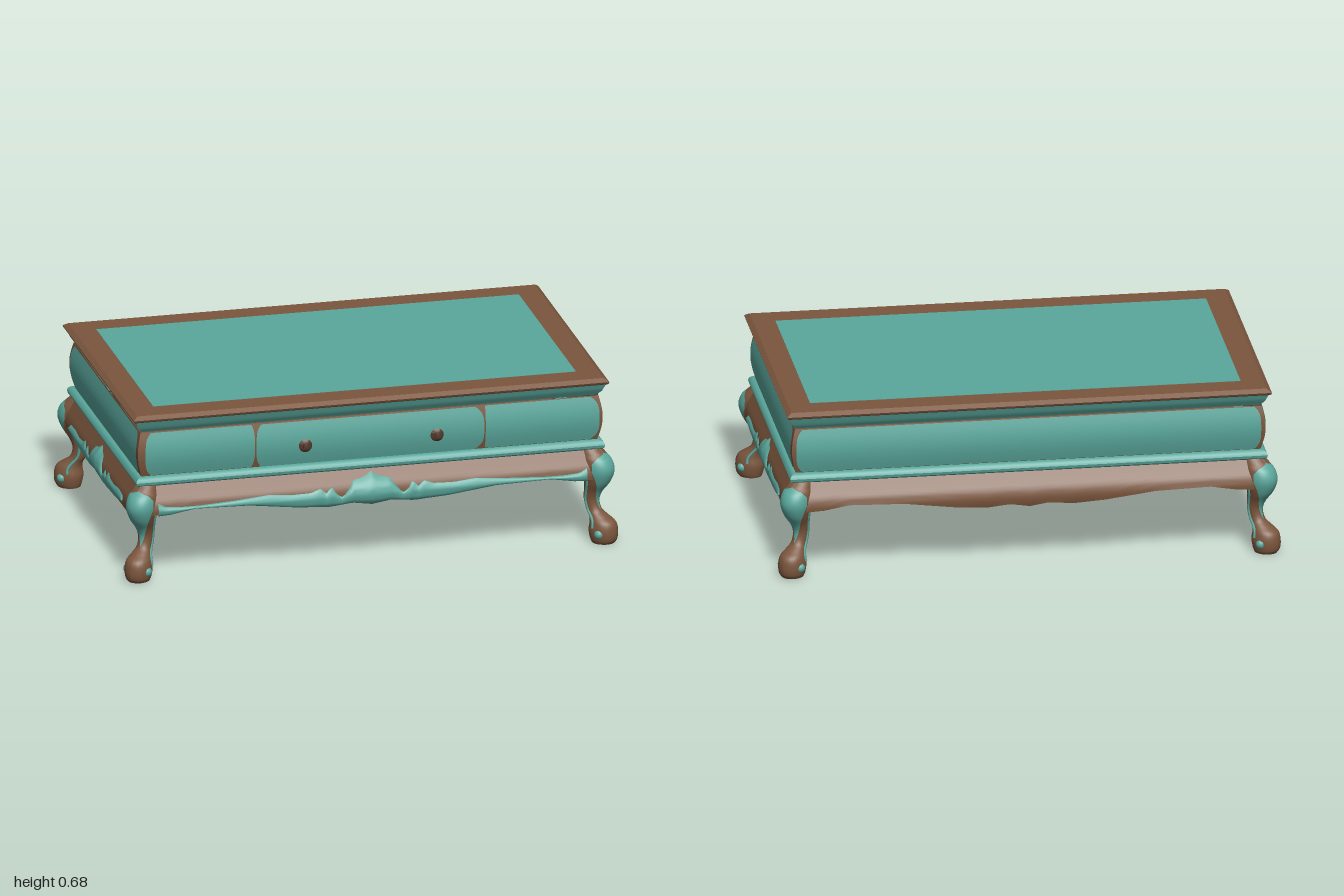
import * as THREE from 'three';
import { mergeGeometries, mergeVertices, toCreasedNormals } from 'three/addons/utils/BufferGeometryUtils.js';

const HX = 0.925, HZ = 0.545; // half sizes of the case at its base line

// Piecewise linear lookup in [[x, y], ...] sorted by x
function lookup(table, x) {
  if (x <= table[0][0]) return table[0][1];
  for (let i = 1; i < table.length; i++) {
    const [x0, y0] = table[i - 1], [x1, y1] = table[i];
    if (x <= x1) return y0 + (y1 - y0) * (x - x0) / (x1 - x0);
  }
  return table[table.length - 1][1];
}

// Grid surface from fn(s, t) -> [x, y, z], s and t in 0..1
function surface(fn, ns, nt) {
  const pos = [], idx = [];
  for (let j = 0; j <= nt; j++) for (let i = 0; i <= ns; i++) pos.push(...fn(i / ns, j / nt));
  for (let j = 0; j < nt; j++) for (let i = 0; i < ns; i++) {
    const a = j * (ns + 1) + i, b = a + 1, c = a + ns + 1, d = c + 1;
    idx.push(a, b, d, a, d, c);
  }
  const g = new THREE.BufferGeometry();
  g.setAttribute('position', new THREE.Float32BufferAttribute(pos, 3));
  g.setIndex(idx);
  g.computeVertexNormals();
  return g;
}

// Point on one side of the case: 0 front, 1 left (+x), 2 back, 3 right (-x)
function onSide(side, u, y, out) {
  if (side === 0) return [u, y, HZ + out];
  if (side === 1) return [HX + out, y, -u];
  if (side === 2) return [-u, y, -HZ - out];
  return [-HX - out, y, u];
}
const halfLength = side => (side % 2 ? HZ : HX);

// Mitred rectangular moulding from a profile of [out, y], bottom to top
function moulding(profile) {
  const n = profile.length - 1;
  const sides = [0, 1, 2, 3].map(k => surface((s, t) => {
    const [out, y] = profile[Math.round(t * n)];
    return onSide(k, (2 * s - 1) * (halfLength(k) + out), y, out);
  }, 1, n));
  return toCreasedNormals(mergeGeometries(sides), 0.6);
}

// Swelling of the case and of the apron
const Y0 = 0.42, Y1 = 0.604;
const caseOut = y => {
  const t = (y - Y0) / (Y1 - Y0);
  return 0.004 * t + 0.016 * Math.sin(Math.PI * t);
};
const apronCurve = [[0.24, 0.042], [0.26, 0.051], [0.29, 0.055], [0.32, 0.048], [0.35, 0.03], [0.385, 0.01]];
const apronOut = (side, y) => lookup(apronCurve, y) * (side % 2 ? 0.86 : 1.05);

// Panel following the swelling, with ends drawn in by r at the corners
function panel(side, u0, u1, r0, r1, lift) {
  return surface((s, t) => {
    const y = Y0 + 0.003 + t * (Y1 - Y0 - 0.006), k = Math.abs(2 * t - 1) ** 4;
    const a = u0 + r0 * k, b = u1 - r1 * k;
    return onSide(side, a + (b - a) * s, y, caseOut(y) + lift);
  }, 1, 24);
}

// Wavy lower edge of the long aprons, by distance from the middle
const longEdge = [[0, 0.247], [0.08, 0.262], [0.17, 0.25], [0.3, 0.26], [0.5, 0.287], [0.72, 0.293], [0.82, 0.275], [0.9, 0.27]];
const shortEdge = [[0, 0.257], [0.6, 0.257]];

function apron(side, edge) {
  const h = halfLength(side) - 0.03;
  const sheet = inset => surface((s, t) => {
    const u = (2 * s - 1) * h, low = lookup(edge, Math.abs(u));
    const y = low + t * (0.385 - low);
    return onSide(side, u, y, apronOut(side, y) - inset);
  }, 72, 10);
  const rim = surface((s, t) => {
    const u = (2 * s - 1) * h, y = lookup(edge, Math.abs(u));
    return onSide(side, u, y, apronOut(side, y) - 0.03 * t);
  }, 72, 1);
  return mergeGeometries([sheet(0), sheet(0.03), rim]);
}

// Pillowed leaf carving between a lower and an upper edge
const longLeaf = [[0, 0.372], [0.02, 0.358], [0.045, 0.35], [0.075, 0.345], [0.09, 0.32], [0.105, 0.305], [0.12, 0.285], [0.145, 0.298], [0.165, 0.332],
  [0.185, 0.305], [0.21, 0.325], [0.25, 0.312], [0.33, 0.31], [0.42, 0.318], [0.55, 0.308], [0.7, 0.3], [0.78, 0.3], [0.84, 0.304], [0.87, 0.32]];
const longLeafLow = longEdge.map(([x, y]) => [x, y - 0.004]);
const shortLeaf = [[0, 0.367], [0.025, 0.35], [0.06, 0.342], [0.08, 0.318], [0.1, 0.285], [0.125, 0.29], [0.145, 0.318], [0.165, 0.296],
  [0.19, 0.322], [0.22, 0.306], [0.28, 0.302], [0.36, 0.31], [0.42, 0.307], [0.44, 0.29]];
const shortLeafLow = [[0, 0.26], [0.05, 0.252], [0.15, 0.242], [0.22, 0.25], [0.33, 0.26], [0.41, 0.274], [0.44, 0.282]];

function carving(side, low, high, half) {
  return surface((s, t) => {
    const u = (2 * s - 1) * half, a = Math.abs(u);
    const y0 = lookup(low, a), y1 = lookup(high, a), y = y0 + (y1 - y0) * t;
    const thick = 0.007 + 0.008 * Math.exp(-((a / 0.07) ** 2));
    return onSide(side, u, y, apronOut(side, y) + 0.002 + thick * Math.sqrt(Math.max(0, Math.sin(Math.PI * t))));
  }, 140, 10);
}

// Cabriole leg: [y, centre z, radius]; the leg lies in the diagonal plane x = z + 0.37
const legRings = [[0, 0.572, 0.047], [0.015, 0.574, 0.055], [0.05, 0.573, 0.06], [0.085, 0.571, 0.053], [0.108, 0.558, 0.04],
  [0.13, 0.543, 0.032], [0.17, 0.535, 0.032], [0.205, 0.54, 0.038], [0.25, 0.553, 0.054], [0.3, 0.557, 0.066],
  [0.34, 0.55, 0.063], [0.365, 0.538, 0.054], [0.387, 0.527, 0.045]];
const legCurve = new THREE.CatmullRomCurve3(legRings.map(r => new THREE.Vector3(...r)));
const paintSpread = [[0.13, 0], [0.16, 0.3], [0.2, 0.7], [0.25, 1.15], [0.3, 1.5], [0.335, 1.4], [0.355, 0.9], [0.368, 0.02]];

// Point on the leg at curve parameter t, angle a from the outward diagonal; slightly narrower across
function legPoint(t, a, grow = 1) {
  const p = legCurve.getPoint(t), r = p.z * grow * Math.SQRT1_2;
  const along = r * Math.cos(a), across = 0.9 * r * Math.sin(a);
  return [p.y + 0.37 + along - across, p.x, p.y + along + across];
}
function legSkin(painted) {
  return surface((s, t) => {
    const w = lookup(paintSpread, legCurve.getPoint(t).x);
    const a = painted ? w - 2 * w * s : 2 * Math.PI - w - (2 * Math.PI - 2 * w) * s;
    return legPoint(t, a);
  }, 24, 60);
}

export function createModel() {
  const mat = (name, color) => new THREE.MeshStandardMaterial({ name, color, side: THREE.DoubleSide });
  const teal = mat('teal paint', 0x5aa79c), wood = mat('brown wood', 0x7b563d), dark = mat('dark wood', 0x533a2b);
  const model = new THREE.Group();
  model.name = 'lowTable';
  const add = (name, geo, material, parent = model) => {
    const m = new THREE.Mesh(geo, material);
    m.name = name;
    parent.add(m);
    return m;
  };

  // Table top with its sloped rim, closed to the middle
  add('tableTop', moulding([[0.026, 0.653], [0.034, 0.657], [0.038, 0.661], [0.04, 0.667], [0.021, 0.68], [-HZ, 0.68]]), wood);
  add('topPanel', new THREE.BoxGeometry(1.715, 0.002, 0.935), teal).position.set(0, 0.68, 0);

  // Case and its mouldings
  add('upperMoulding', moulding([[-0.01, 0.602], [0, 0.605], [0.006, 0.614], [0.016, 0.626], [0.022, 0.64], [0.029, 0.655]]), teal);
  const caseProfile = Array.from({ length: 13 }, (_, i) => Y0 + (Y1 - Y0) * i / 12).map(y => [caseOut(y), y]);
  add('case', moulding(caseProfile), wood);
  add('lowerMoulding', moulding([[-0.02, 0.38], [0.012, 0.381], [0.023, 0.389], [0.026, 0.4], [0.022, 0.411], [0.012, 0.419], [-0.01, 0.421]]), teal);
  add('underside', moulding([[-HZ, 0.32], [0.015, 0.32]]), wood);

  // Painted panels and drawer
  add('leftFrontPanel', panel(0, 0.468, 0.93, 0, 0.035, 0.003), teal);
  add('rightFrontPanel', panel(0, -0.912, -0.468, 0.025, 0.012, 0.003), teal);
  add('drawerFront', panel(0, -0.466, 0.466, 0, 0, 0.005), wood);
  add('drawerPanel', panel(0, -0.463, 0.461, 0.022, 0.035, 0.008), teal);
  add('leftSidePanel', panel(1, -0.543, 0.543, 0.032, 0.032, 0.003), teal);
  add('rightSidePanel', panel(3, -0.543, 0.543, 0.032, 0.032, 0.003), teal);
  add('backPanel', panel(2, -0.925, 0.925, 0.025, 0.025, 0.003), teal);

  // Drawer knobs
  const knobProfile = [[0.009, 0], [0.009, 0.014], [0.024, 0.017], [0.027, 0.021], [0.023, 0.026], [0.012, 0.029], [0.011, 0.036], [0, 0.039]];
  const knob = toCreasedNormals(new THREE.LatheGeometry(knobProfile.map(p => new THREE.Vector2(...p)), 20), 0.7);
  for (const x of [-0.267, 0.267]) {
    const k = add('knob', knob, dark);
    k.position.set(x, 0.505, HZ + 0.014);
    k.rotation.x = Math.PI / 2;
  }

  // Aprons and leaf carvings
  ['frontApron', 'leftApron', 'backApron', 'rightApron'].forEach((name, k) => add(name, apron(k, k % 2 ? shortEdge : longEdge), wood));
  add('frontCarving', carving(0, longLeafLow, longLeaf, 0.87), teal);
  add('leftCarving', carving(1, shortLeafLow, shortLeaf, 0.44), teal);
  add('rightCarving', carving(3, shortLeafLow, shortLeaf, 0.44), teal);

  // Four mirrored legs, each with painted knee, edge beads and foot scrolls
  const woodSkin = legSkin(false), kneeSkin = legSkin(true);
  const sole = new THREE.CircleGeometry(0.043, 24).rotateX(Math.PI / 2).translate(0.942, 0.001, 0.572);
  const beads = [-1, 1].map(sign => {
    const pts = Array.from({ length: 12 }, (_, i) => new THREE.Vector3(...legPoint(0.2 + 0.045 * i, sign * 1.95)));
    return new THREE.TubeGeometry(new THREE.CatmullRomCurve3(pts), 24, 0.006, 6);
  });
  const scrolls = [-1, 1].map(sign => new THREE.SphereGeometry(0.02, 14, 10).translate(...legPoint(0.15, sign * 1.45, 0.8)));
  const paint = mergeVertices(mergeGeometries([...beads, ...scrolls]));
  for (const sx of [1, -1]) for (const sz of [1, -1]) {
    const leg = new THREE.Group();
    leg.name = (sz > 0 ? 'front' : 'back') + (sx > 0 ? 'Left' : 'Right') + 'Leg';
    leg.scale.set(sx, 1, sz);
    add('legWood', woodSkin, wood, leg);
    add('kneePaint', kneeSkin, teal, leg);
    add('beadsAndScrolls', paint, teal, leg);
    add('sole', sole, wood, leg);
    model.add(leg);
  }
  return model;
}
